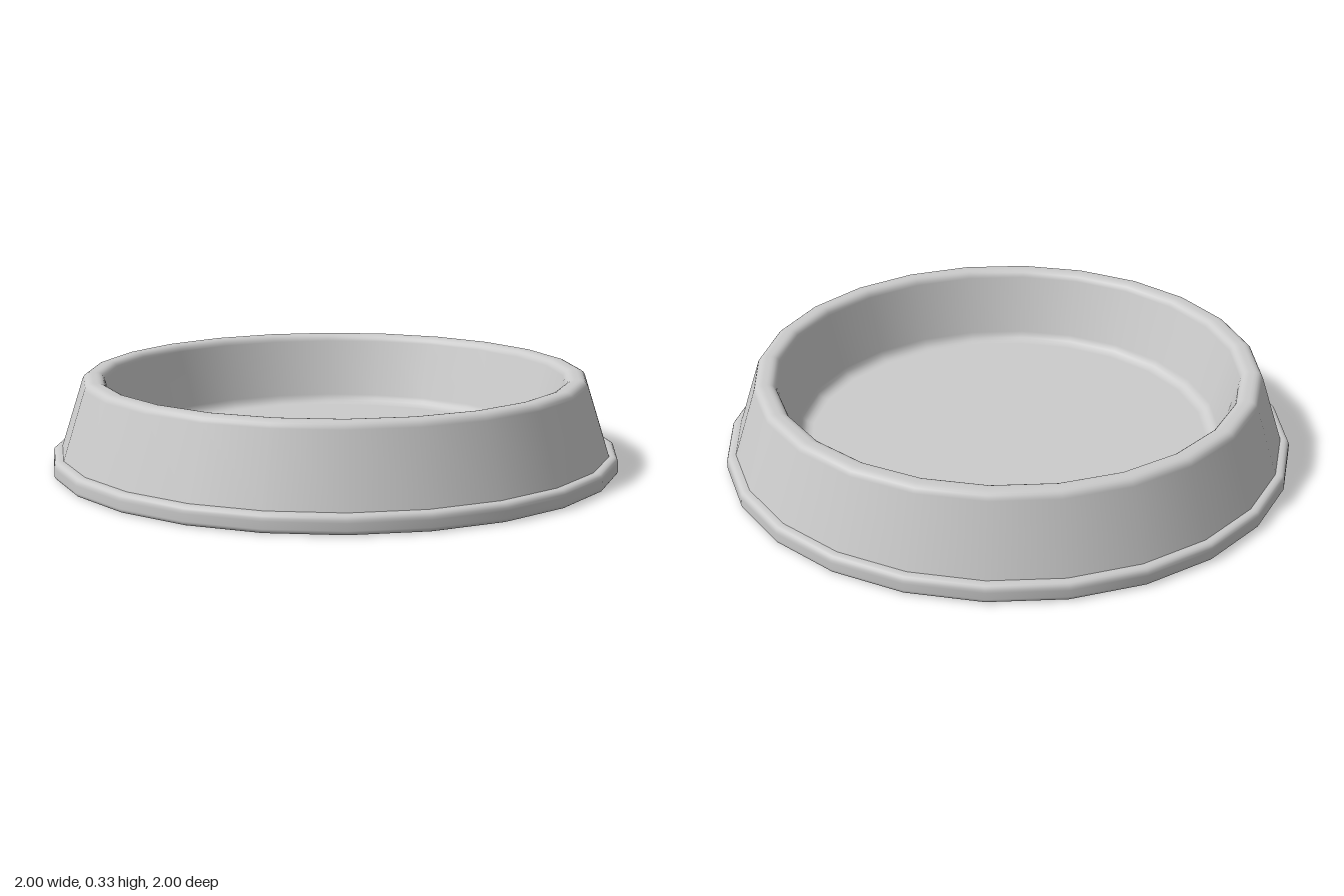
import * as THREE from 'three';

const SIDES = 24;
const FLAT = 1 / Math.cos(Math.PI / SIDES); // corner radius for a given flat-to-centre distance

// Rounds every inner corner [radius, y, size] of a profile; size 0 or none stays sharp
function roundedProfile(corners, steps = 5) {
  const pts = corners.map(([r, y]) => new THREE.Vector2(r * FLAT, y));
  const out = [];
  pts.forEach((p, i) => {
    const size = corners[i][2];
    if (!size) return out.push(p);
    const toward = (q) => p.clone().add(q.clone().sub(p).setLength(size));
    const curve = new THREE.QuadraticBezierCurve(toward(pts[i - 1]), p, toward(pts[i + 1]));
    out.push(...curve.getPoints(steps));
  });
  return out;
}

function turned(name, corners, material) {
  const geometry = new THREE.LatheGeometry(roundedProfile(corners), SIDES, Math.PI / SIDES);
  const mesh = new THREE.Mesh(geometry, material);
  mesh.name = name;
  return mesh;
}

export function createModel() {
  const material = new THREE.MeshStandardMaterial({ color: 0xcccccc });
  const group = new THREE.Group();
  group.name = 'bowl';

  // Flat underside and the rounded foot ring
  group.add(turned('underside', [[0, 0], [0.985, 0]], material));
  group.add(turned('footRing', [
    [0.985, 0], [1, 0.004, 0.012], [1, 0.065, 0.025], [0.955, 0.065],
  ], material));

  // Sloping outer wall, rounded rim, inner wall and dish floor
  group.add(turned('dish', [
    [0.968, 0.064],
    [0.883, 0.33, 0.025],
    [0.818, 0.33, 0.026],
    [0.738, 0.065, 0.035],
    [0, 0.065],
  ], material));
  return group;
}
